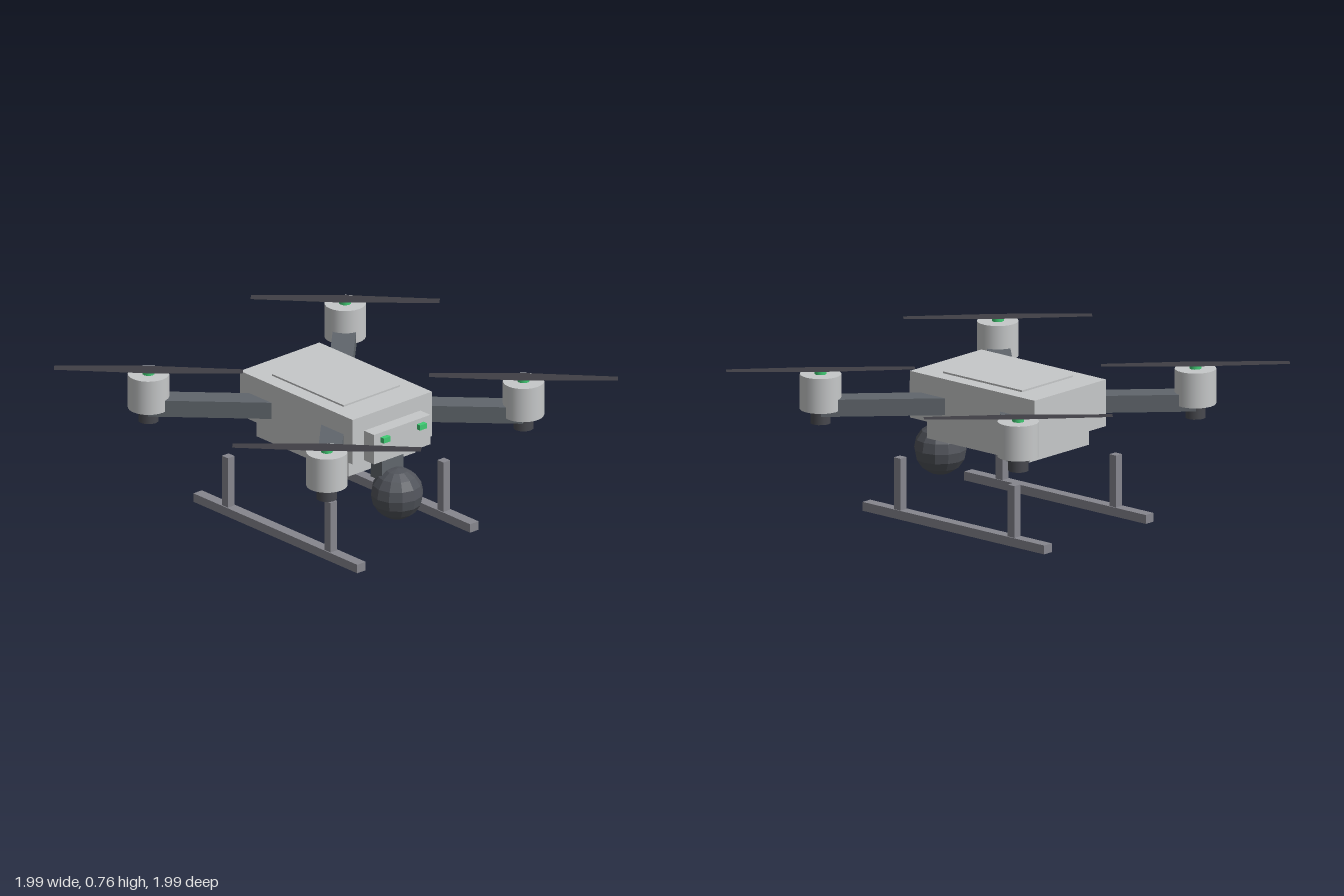
import * as THREE from 'three';

const mat = (name, color, extra = {}) => {
  const m = new THREE.MeshStandardMaterial({ color, ...extra });
  m.name = name;
  return m;
};

export function createModel() {
  const shell = mat('light grey shell', 0xc6c8c9);
  const armGrey = mat('slate arm', 0x60666c);
  const cameraGrey = mat('dark camera', 0x50535a, { flatShading: true });
  const motorGrey = mat('dark motor base', 0x48494f);
  const bladeGrey = mat('charcoal blade', 0x403f45, { side: THREE.DoubleSide });
  const skidGrey = mat('mid grey skid', 0x86868e);
  const green = mat('signal green', 0x40cc74);

  const drone = new THREE.Group();
  drone.name = 'drone';

  const add = (parent, name, geometry, material, x, y, z) => {
    const mesh = new THREE.Mesh(geometry, material);
    mesh.name = name;
    mesh.position.set(x, y, z);
    parent.add(mesh);
    return mesh;
  };
  // Box given by its extents on x and y, and its full depth about z
  const box = (name, material, x0, x1, y0, y1, depth, z = 0) =>
    add(drone, name, new THREE.BoxGeometry(x1 - x0, y1 - y0, depth), material,
      (x0 + x1) / 2, (y0 + y1) / 2, z);

  // Body
  box('body', shell, -0.41, 0.41, 0.48, 0.717, 0.524);
  box('hatch', shell, -0.26, 0.26, 0.71, 0.726, 0.372);
  box('belly', shell, -0.335, 0.335, 0.38, 0.481, 0.44);
  box('nose', shell, 0.40, 0.482, 0.481, 0.638, 0.372);

  // Camera under the nose
  box('cameraMount', armGrey, 0.33, 0.413, 0.337, 0.455, 0.144);
  add(drone, 'camera', new THREE.SphereGeometry(0.131, 12, 8), cameraGrey, 0.445, 0.264, 0);

  // Landing gear and nose lights on both sides
  for (const s of [-1, 1]) {
    box('noseLight', green, 0.478, 0.506, 0.587, 0.614, 0.046, s * 0.12);
    box('skid', skidGrey, -0.597, 0.597, 0, 0.045, 0.056, s * 0.373);
    for (const x of [-0.374, 0.374])
      box('skidPost', skidGrey, x - 0.022, x + 0.022, 0.04, 0.308, 0.044, s * 0.373);
  }

  // Flat blade, widest at the hub
  const L = 0.463, tip = 0.025, hub = 0.047;
  const bladeShape = new THREE.Shape([
    [-L, -tip], [0, -hub], [L, -tip], [L, tip], [0, hub], [-L, tip],
  ].map(([x, y]) => new THREE.Vector2(x, y)));
  const bladeGeometry = new THREE.ShapeGeometry(bladeShape).rotateX(-Math.PI / 2);

  const armStart = 0.2, armEnd = 0.65 * Math.SQRT2;
  const armGeometry = new THREE.BoxGeometry(armEnd - armStart, 0.086, 0.115);
  armGeometry.translate((armStart + armEnd) / 2, 0.577, 0);
  const motorGeometry = new THREE.CylinderGeometry(0.102, 0.102, 0.177, 24);
  const baseGeometry = new THREE.CylinderGeometry(0.051, 0.051, 0.08, 12);
  const capGeometry = new THREE.CylinderGeometry(0.03, 0.03, 0.022, 12);

  // Four arms, each with a motor and a propeller
  for (const sx of [-1, 1]) for (const sz of [-1, 1]) {
    const arm = add(drone, 'arm', armGeometry, armGrey, 0, 0, 0);
    arm.rotation.y = Math.atan2(-sz, sx);
    const rotor = new THREE.Group();
    rotor.name = 'rotor';
    rotor.position.set(sx * 0.65, 0, sz * 0.65);
    add(rotor, 'motor', motorGeometry, shell, 0, 0.65, 0);
    add(rotor, 'motorBase', baseGeometry, motorGrey, 0, 0.53, 0);
    add(rotor, 'motorCap', capGeometry, green, 0, 0.744, 0);
    add(rotor, 'propeller', bladeGeometry, bladeGrey, 0, 0.76, 0).rotation.y = Math.PI / 4;
    drone.add(rotor);
  }
  return drone;
}
